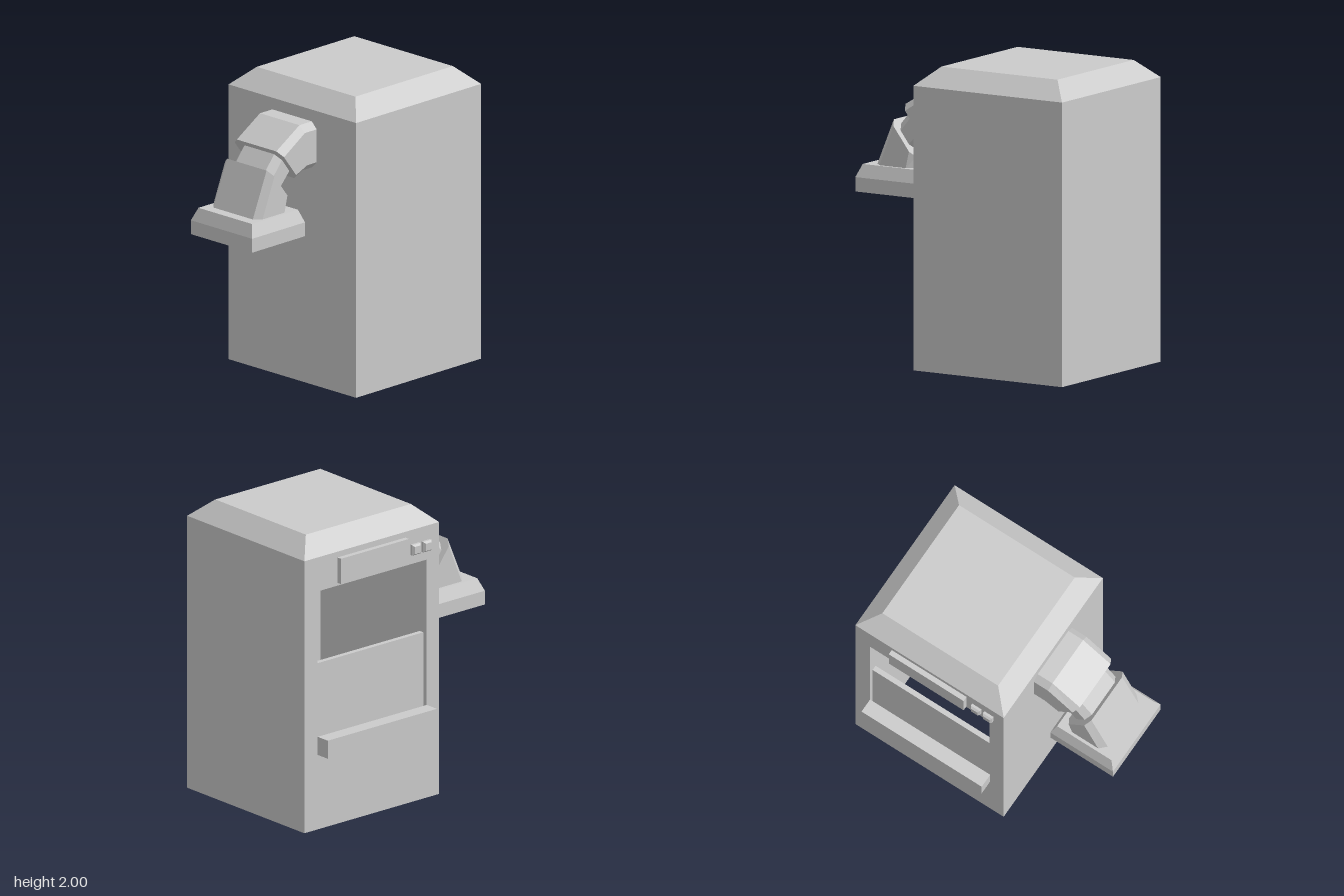
import * as THREE from 'three';

const grey = new THREE.MeshStandardMaterial({ color: 0xcccccc, flatShading: true });
const thin = new THREE.MeshStandardMaterial({ color: 0xcccccc, flatShading: true, side: THREE.DoubleSide });

// Skin a series of rings; optional caps close both ends
function loft(rings, caps = true) {
  const pos = [];
  const tri = (...pts) => pts.forEach((p) => pos.push(...p));
  for (let r = 0; r < rings.length - 1; r++) {
    const a = rings[r], b = rings[r + 1], n = a.length;
    for (let i = 0; i < n; i++) {
      const j = (i + 1) % n;
      tri(a[i], a[j], b[j], a[i], b[j], b[i]);
    }
  }
  if (caps) {
    const s = rings[0], e = rings[rings.length - 1];
    for (let i = 1; i < s.length - 1; i++) {
      tri(s[0], s[i + 1], s[i]);
      tri(e[0], e[i], e[i + 1]);
    }
  }
  const g = new THREE.BufferGeometry();
  g.setAttribute('position', new THREE.Float32BufferAttribute(pos, 3));
  g.computeVertexNormals();
  return g;
}

// Horizontal rectangle, counter-clockwise from above
const rect = (x0, x1, z0, z1, y) => [[x0, y, z1], [x1, y, z1], [x1, y, z0], [x0, y, z0]];

// Flat four-cornered panels
function quads(list) {
  const pos = [];
  for (const [a, b, c, d] of list) for (const p of [a, b, c, a, c, d]) pos.push(...p);
  const g = new THREE.BufferGeometry();
  g.setAttribute('position', new THREE.Float32BufferAttribute(pos, 3));
  g.computeVertexNormals();
  return g;
}

// Chamfered duct section between an inner and an outer bend point
function ductRing([ix, iy, ox, oy], w, c = 0.045) {
  const len = Math.hypot(ox - ix, oy - iy);
  const ux = (ox - ix) / len, uy = (oy - iy) / len;
  return [[-w + c, 0], [w - c, 0], [w, c], [w, len - c], [w - c, len], [-w + c, len], [-w, len - c], [-w, c]]
    .map(([v, u]) => [ix + ux * u, iy + uy * u, 0.045 + v]);
}

export function createModel() {
  const model = new THREE.Group();
  const add = (name, geometry, material = grey) => {
    const m = new THREE.Mesh(geometry, material);
    m.name = name;
    model.add(m);
    return m;
  };
  const box = (name, x0, x1, y0, y1, z0, z1) =>
    add(name, new THREE.BoxGeometry(x1 - x0, y1 - y0, z1 - z0))
      .position.set((x0 + x1) / 2, (y0 + y1) / 2, (z0 + z1) / 2);

  // Cabinet outline and inner cavity
  const X0 = -0.255, X1 = 0.905, Z0 = -0.535, Z1 = 0.63, H = 1.88;
  const x0 = -0.145, x1 = 0.79, z1 = 0.515, h = 1.645;

  // Thin outer walls, open underneath
  add('cabinetWalls', quads([
    [[X0, 0, Z1], [X1, 0, Z1], [X1, H, Z1], [X0, H, Z1]],
    [[X1, 0, Z1], [X1, 0, Z0], [X1, H, Z0], [X1, H, Z1]],
    [[X0, 0, Z0], [X0, 0, Z1], [X0, H, Z1], [X0, H, Z0]],
  ]), thin);

  // Back wall with the window
  const loop = (a, b, c, d) => [[a, c], [b, c], [b, d], [a, d]].map((p) => new THREE.Vector2(...p));
  const back = new THREE.Shape(loop(X0, X1, 0, H));
  back.holes.push(new THREE.Path(loop(x0, x1, 0.58, h).reverse()));
  add('backWall', new THREE.ShapeGeometry(back), thin).position.z = Z0;

  // Bevelled lid
  add('lid', loft([rect(X0, X1, Z0, Z1, H), rect(-0.125, 0.78, -0.405, 0.495, 2)]));

  // Cavity lining, facing inwards
  add('innerLining', quads([
    [[x1, 0, z1], [x0, 0, z1], [x0, h, z1], [x1, h, z1]],
    [[x1, 0, Z0], [x1, 0, z1], [x1, h, z1], [x1, h, Z0]],
    [[x0, 0, z1], [x0, 0, Z0], [x0, h, Z0], [x0, h, z1]],
    [[x0, h, Z0], [x1, h, Z0], [x1, h, z1], [x0, h, z1]],
  ]));

  // Fittings on the back
  box('windowPanel', x0, x1, 0, 1.135, -0.505, -0.47);
  box('tray', -0.15, 0.79, 0.515, 0.64, -0.635, Z0);
  box('displayPlate', 0.035, 0.62, 1.665, 1.84, -0.57, Z0);
  for (const bx of [-0.14, -0.045]) {
    const face = (s, z) => [[-s, -s], [-s, s], [s, s], [s, -s]].map(([u, v]) => [bx + u, 1.745 + v, z]);
    add('button', loft([face(0.036, Z0), face(0.036, -0.552), face(0.025, -0.566)]));
  }

  // Bent duct in three overlapping sections: [inner x, inner y, outer x, outer y]
  const duct = (name, w, rows) => add(name, loft(rows.map((r) => ductRing(r, w))));
  duct('upperDuct', 0.225, [
    [-0.25, 1.485, -0.25, 1.8], [-0.34, 1.485, -0.37, 1.8], [-0.42, 1.45, -0.585, 1.67],
  ]);
  duct('middleDuct', 0.18, [[-0.42, 1.49, -0.55, 1.645], [-0.53, 1.37, -0.655, 1.52]]);
  duct('lowerDuct', 0.225, [[-0.5, 1.33, -0.675, 1.56], [-0.51, 1.25, -0.805, 1.25]]);

  // Hollow rectangular nozzle
  add('nozzle', loft([
    rect(-0.85, -0.48, -0.175, 0.265, 1.19),
    rect(-0.85, -0.48, -0.175, 0.265, 1.075),
    rect(-0.91, -0.42, -0.235, 0.325, 1.075),
    rect(-0.91, -0.42, -0.235, 0.325, 1.17),
    rect(-0.875, -0.45, -0.2, 0.29, 1.255),
  ]));

  return model;
}
